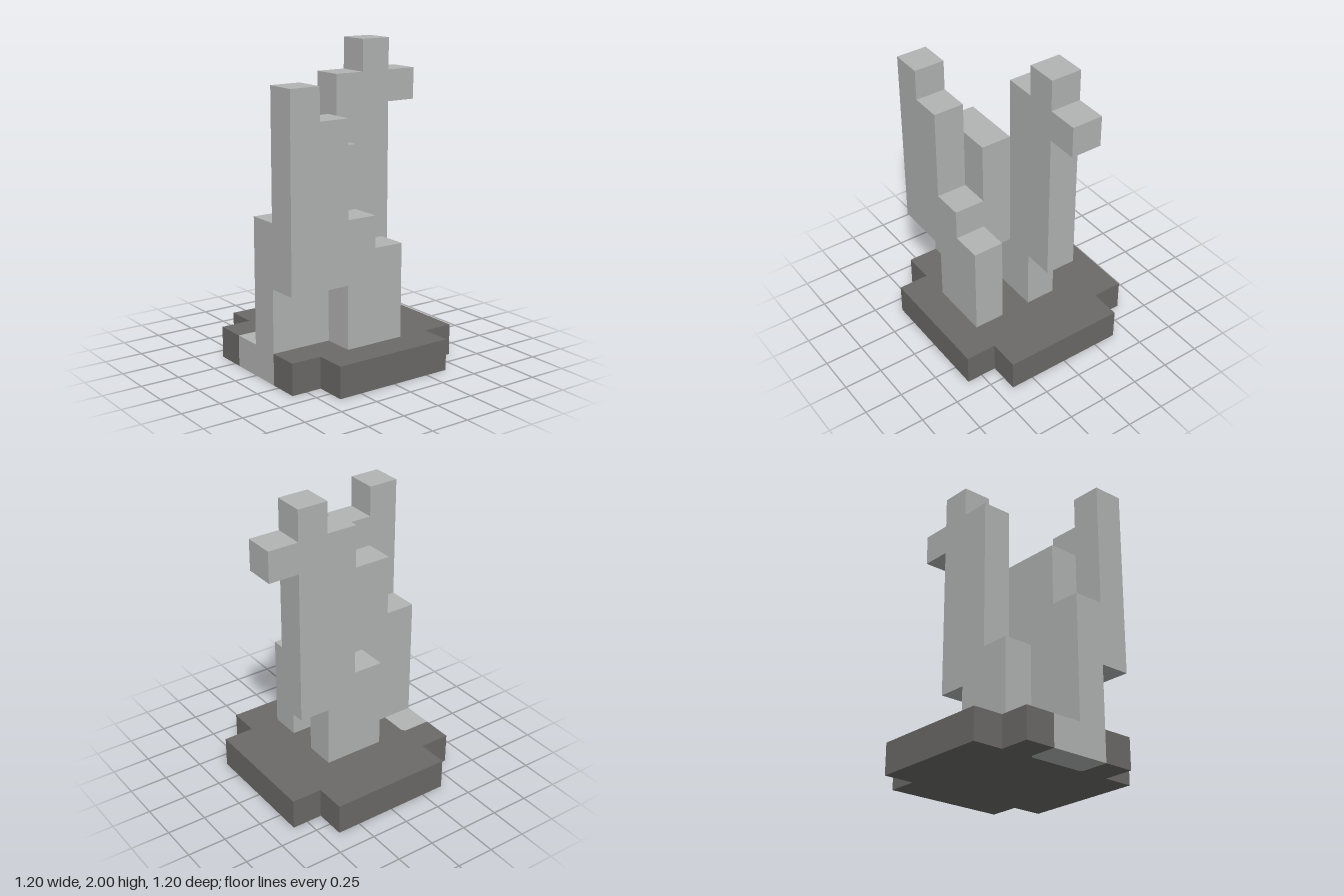
import * as THREE from 'three';

const U = 0.2; // block size

// Extrude an outline given in block units
function extrude(points, depth) {
  const shape = new THREE.Shape(points.map(([x, y]) => new THREE.Vector2(x * U, y * U)));
  return new THREE.ExtrudeGeometry(shape, { depth: depth * U, bevelEnabled: false });
}

export function createModel() {
  const group = new THREE.Group();
  const stone = new THREE.MeshStandardMaterial({ color: 0xb2b4b3 });
  stone.name = 'light stone';
  const ground = new THREE.MeshStandardMaterial({ color: 0x6b6a68 });
  ground.name = 'dark ground';

  const add = (name, geometry, material) => {
    const mesh = new THREE.Mesh(geometry, material);
    mesh.name = name;
    group.add(mesh);
    return mesh;
  };

  // Upright slabs, one block deep; z is the back of each slab
  const slabs = [
    ['backPillar', -1, [[-1, 1], [1, 1], [1, 3], [2, 3], [2, 8], [3, 8], [3, 9], [2, 9],
      [2, 10], [1, 10], [1, 9], [0, 9], [0, 4], [-1, 4]]],
    ['middlePillar', 0, [[-3, 1], [-1, 1], [-1, 3], [0, 3], [0, 7], [-2, 7], [-2, 5], [-3, 5]]],
    ['frontPillar', 1, [[-3, 3], [-1, 3], [-1, 1], [1, 1], [1, 4], [0, 4], [0, 5], [-1, 5],
      [-1, 8], [-2, 8], [-2, 9], [-3, 9]]],
  ];
  for (const [name, z, outline] of slabs) {
    add(name, extrude(outline, 1), stone).position.z = z * U;
  }

  // Stone insert at the edge of the base, inner corners slightly cut
  const c = 0.1;
  const inset = [[-3, -1], [-2 - c, -1], [-2, -1 + c], [-2, 1 - c], [-2 - c, 1], [-3, 1]];
  add('baseInsert', extrude(inset, 1).rotateX(-Math.PI / 2), stone);

  // Notched base plate surrounding the insert
  const base = [[-2, -3], [2, -3], [2, -2], [3, -2], [3, 2], [2, 2], [2, 3], [-2, 3], [-2, 2],
    [-3, 2], ...inset.slice().reverse(), [-3, -2], [-2, -2]];
  add('basePlate', extrude(base, 1).rotateX(-Math.PI / 2), ground);

  return group;
}
